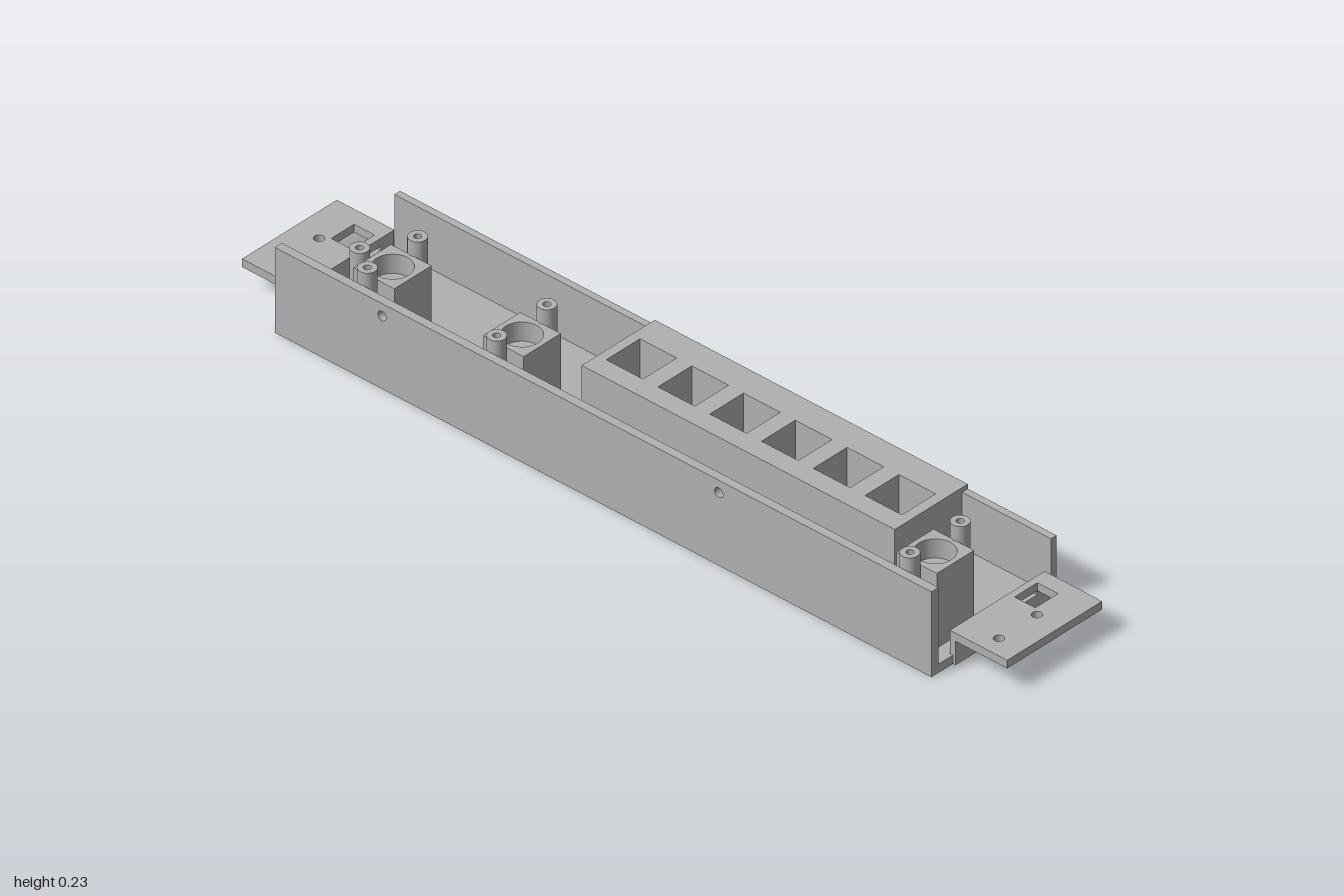
import * as THREE from 'three';

const grey = new THREE.MeshStandardMaterial({ color: 0xb0b0b0 });
grey.name = 'grey plastic';

const circle = (x, z, r) => new THREE.Path().absarc(x, -z, r, 0, Math.PI * 2, true);

function rectangle(path, x0, x1, z0, z1) {
  return path.setFromPoints([[x0, z1], [x1, z1], [x1, z0], [x0, z0]]
    .map(([x, z]) => new THREE.Vector2(x, -z)));
}
const opening = (...r) => rectangle(new THREE.Path(), ...r);

function add(group, name, geometry) {
  const mesh = new THREE.Mesh(geometry, grey);
  mesh.name = name;
  group.add(mesh);
}

// Horizontal outline extruded upwards from y0 to y1, with vertical holes
function plan(group, name, shape, y0, y1, holes = []) {
  shape.holes.push(...holes);
  const g = new THREE.ExtrudeGeometry(shape, { depth: y1 - y0, bevelEnabled: false, curveSegments: 24 });
  add(group, name, g.rotateX(-Math.PI / 2).translate(0, y0, 0));
}
const block = (group, name, [x0, x1, z0, z1], y0, y1, holes) =>
  plan(group, name, rectangle(new THREE.Shape(), x0, x1, z0, z1), y0, y1, holes);

function pin(group, name, x, z, top) {
  const shape = new THREE.Shape().absarc(x, -z, 0.02, 0, Math.PI * 2);
  plan(group, name, shape, 0.02, top, [circle(x, z, 0.008)]);
}

// Upright wall from a front outline
function wall(group, name, points, z0, z1, holes = []) {
  const shape = new THREE.Shape(points.map(p => new THREE.Vector2(...p)));
  shape.holes.push(...holes);
  const g = new THREE.ExtrudeGeometry(shape, { depth: z1 - z0, bevelEnabled: false, curveSegments: 16 });
  add(group, name, g.translate(0, 0, z0));
}

export function createModel() {
  const model = new THREE.Group();
  model.name = 'control panel tray';
  const end = 0.858, front = 0.158, back = -0.162, outer = 0.178;
  const postX = [-0.652, -0.314, 0.766], postZ = 0.067;
  const windows = () => Array.from({ length: 6 }, (_, i) => {
    const x = -0.122 + i * 0.1353;
    return opening(x - 0.048, x + 0.048, -0.112, -0.016);
  });

  // Floor with shaft holes, cable hole and button windows
  block(model, 'floor', [-end, end, back, front], 0, 0.02, [
    ...windows(), circle(-0.82, 0.065, 0.039), circle(-0.203, -0.125, 0.01),
    ...postX.map(x => circle(x, postZ, 0.015)),
  ]);

  // Long walls; the rear one steps up beside the button block
  wall(model, 'front wall', [[-end, 0], [end, 0], [end, 0.2], [-end, 0.2]], front, outer,
    [circle(-0.578, -0.171, 0.011), circle(0.302, -0.171, 0.011)]);
  wall(model, 'rear wall', [[-end, 0], [end, 0], [end, 0.15], [0.626, 0.15], [0.626, 0.161],
    [-0.192, 0.161], [-0.192, 0.15], [-end, 0.15]], -outer, back);

  // Raised button block
  block(model, 'button block', [-0.192, 0.626, back, 0.03], 0.02, 0.161, windows());

  // Small bracket beside the button block
  block(model, 'bracket', [-0.29, -0.192, -0.153, -0.098], 0.02, 0.06, [circle(-0.203, -0.125, 0.01)]);

  // Control posts with a counterbore and a pair of screw pins
  for (const x of postX) {
    const post = new THREE.Group();
    post.name = 'control post';
    const box = [x - 0.053, x + 0.053, postZ - 0.053, postZ + 0.053];
    block(post, 'post base', box, 0.02, 0.15, [circle(x, postZ, 0.015)]);
    block(post, 'post rim', box, 0.15, 0.195, [circle(x, postZ, 0.042)]);
    for (const z of [-0.004, 0.139]) pin(post, 'screw pin', x, z, 0.23);
    model.add(post);
  }

  // Short pins around the cable hole
  pin(model, 'short pin', -0.82, -0.022, 0.115);
  pin(model, 'short pin', -0.733, 0.067, 0.115);

  // Mounting tabs and the end walls that carry them
  for (const s of [-1, 1]) {
    const span = (a, b) => (s > 0 ? [a, b] : [-b, -a]);
    const tab = new THREE.Group();
    tab.name = s > 0 ? 'left mounting tab' : 'right mounting tab';
    block(tab, 'tab plate', [...span(0.85, 1), -0.153, 0.117], 0.056, 0.075, [
      opening(...span(0.866, 0.92), -0.115, -0.05),
      circle(s * 0.938, -0.035, 0.011), circle(s * 0.938, 0.073, 0.011),
    ]);
    // End wall in three pieces around the connector notch
    block(tab, 'end wall', [...span(0.85, 0.865), -0.153, 0.117], 0, 0.046);
    block(tab, 'end wall top', [...span(0.85, 0.865), -0.153, -0.115], 0.046, 0.056);
    block(tab, 'end wall top', [...span(0.85, 0.865), -0.046, 0.117], 0.046, 0.056);
    model.add(tab);
  }
  return model;
}
